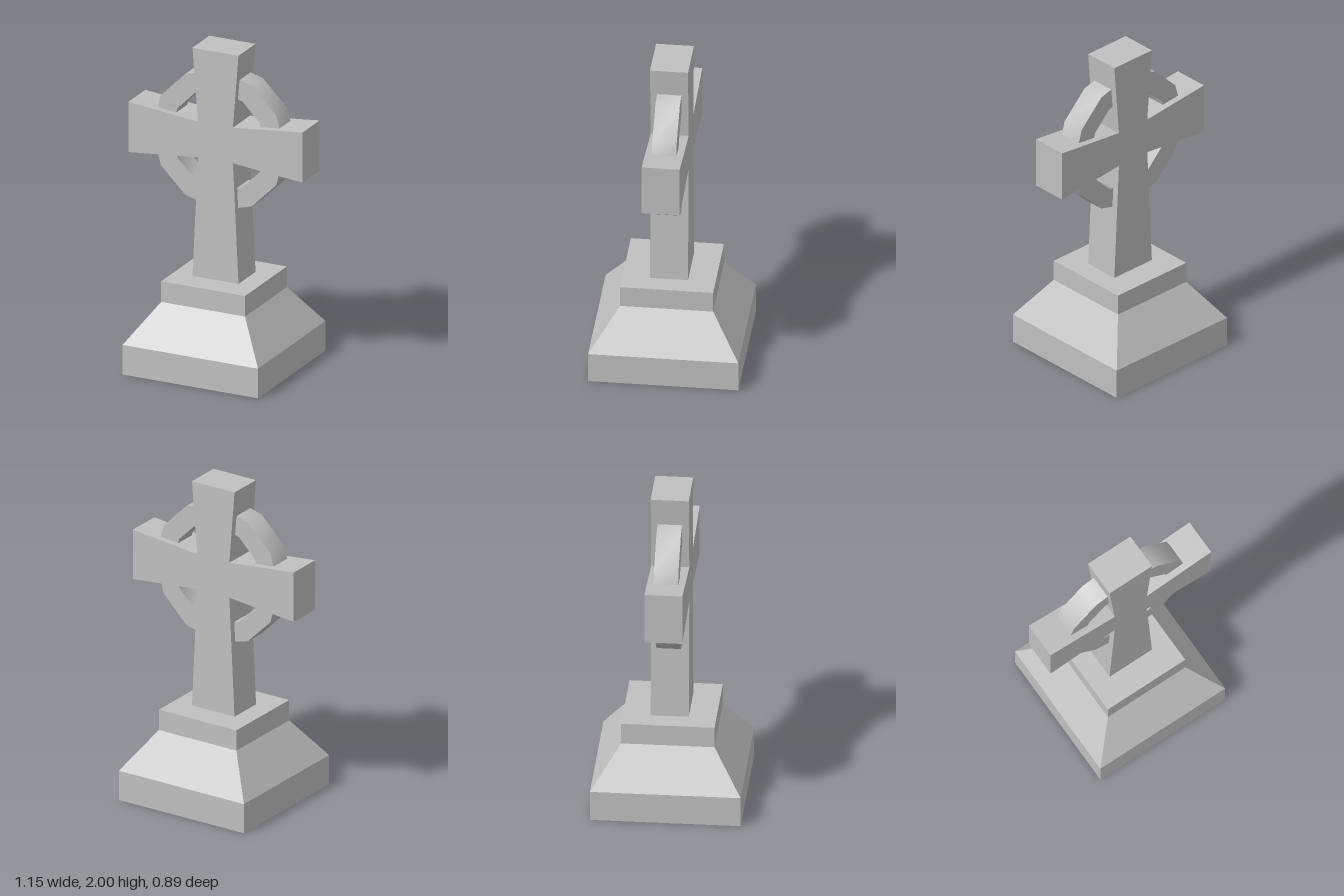
import * as THREE from 'three';
import { toCreasedNormals } from 'three/addons/utils/BufferGeometryUtils.js';

const stone = new THREE.MeshStandardMaterial({ color: 0xc0c0c0, side: THREE.DoubleSide });
stone.name = 'grey stone';

// Extrude a shape so that it is centred on z = 0
function slab(shape, depth) {
  const geometry = new THREE.ExtrudeGeometry(shape, { depth, bevelEnabled: false });
  geometry.translate(0, 0, -depth / 2);
  return geometry;
}

// Corner points of a regular polygon
function polygon(radius, sides) {
  return Array.from({ length: sides }, (_, i) => {
    const a = (i / sides) * Math.PI * 2;
    return new THREE.Vector2(Math.cos(a) * radius, Math.sin(a) * radius);
  });
}

export function createModel() {
  const model = new THREE.Group();
  const add = (name, geometry) => {
    const mesh = new THREE.Mesh(geometry, stone);
    mesh.name = name;
    model.add(mesh);
    return mesh;
  };

  // Square stepped plinth, hollow and open underneath: half width, height
  const profile = [[0.447, 0], [0.447, 0.187], [0.277, 0.43], [0.277, 0.56], [0, 0.56]]
    .map(([half, y]) => new THREE.Vector2(half * Math.SQRT2, y));
  const plinth = new THREE.LatheGeometry(profile, 4, Math.PI / 4).toNonIndexed();
  plinth.computeVertexNormals();
  add('plinth', plinth);

  // Cross with arms that flare towards their ends
  const right = [[0.152, 0.56], [0.115, 1.315], [0.575, 1.27], [0.575, 1.587], [0.115, 1.54], [0.152, 2]];
  const left = right.map(([x, y]) => [-x, y]).reverse();
  const outline = [...right, ...left].map(([x, y]) => new THREE.Vector2(x, y));
  add('cross', slab(new THREE.Shape(outline), 0.226));

  // Twelve-sided ring behind the crossing, rounded by smooth normals
  const ringShape = new THREE.Shape(polygon(0.44, 12));
  ringShape.holes.push(new THREE.Path(polygon(0.313, 12)));
  add('ring', toCreasedNormals(slab(ringShape, 0.145), 0.7)).position.y = 1.428;

  return model;
}
